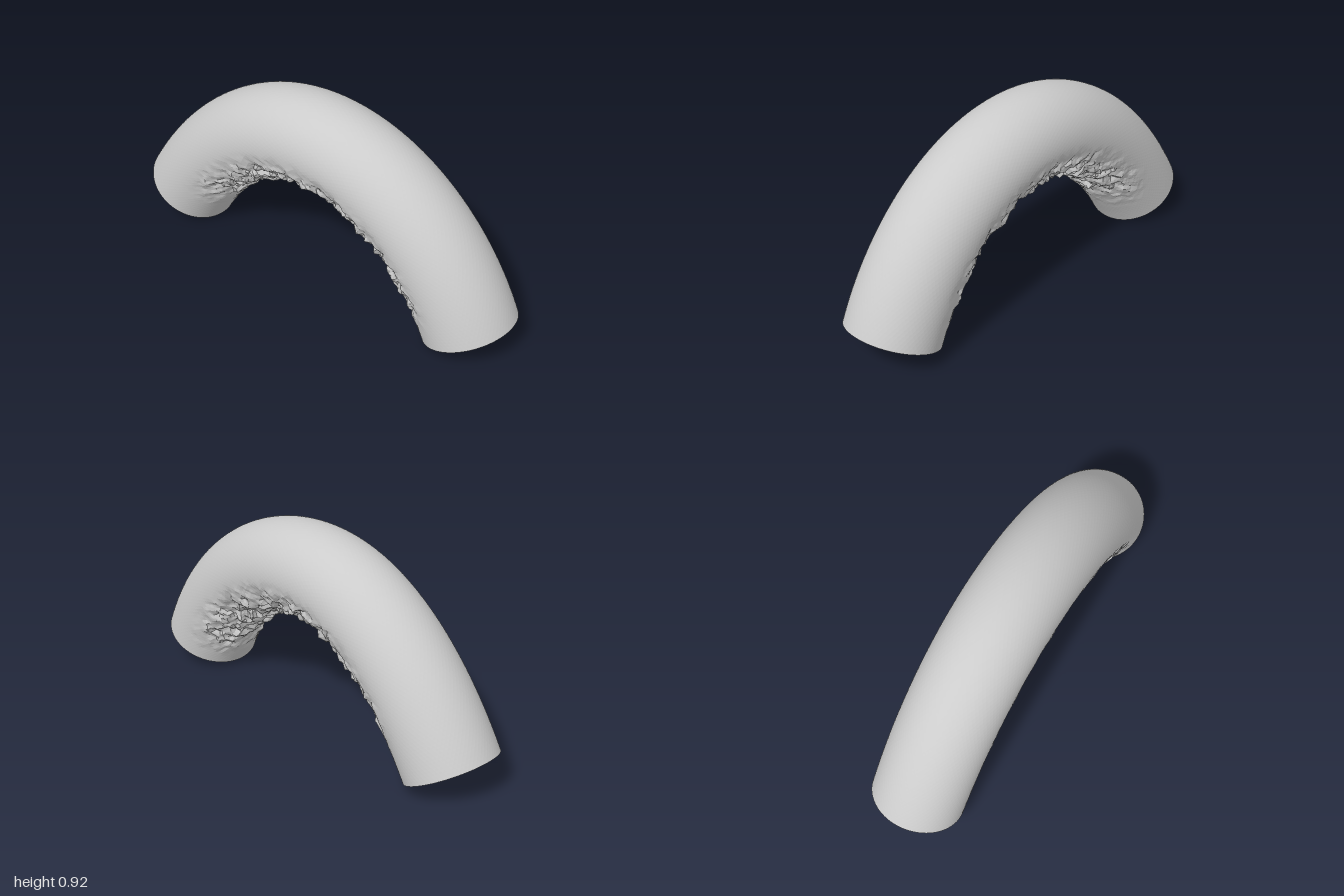
import * as THREE from 'three';

const RADIUS = 0.214, ALONG = 150, AROUND = 72;

// Repeatable value noise: a hash per lattice point, smoothly blended
function hash(i, j) {
  const s = Math.sin(i * 127.1 + j * 311.7) * 43758.5453;
  return (s - Math.floor(s)) * 2 - 1;
}
function noise(x, y) {
  const i = Math.floor(x), j = Math.floor(y);
  const f = THREE.MathUtils.smoothstep(x - i, 0, 1), g = THREE.MathUtils.smoothstep(y - j, 0, 1);
  const lerp = THREE.MathUtils.lerp;
  return lerp(lerp(hash(i, j), hash(i + 1, j), f), lerp(hash(i, j + 1), hash(i + 1, j + 1), f), g);
}

// Centre line: two arcs that meet level at the crown and straighten towards the ends
function centreLine() {
  const v = (x, y) => new THREE.Vector3(x, y, 0);
  const path = new THREE.CurvePath();
  path.add(new THREE.CubicBezierCurve3(v(-0.815, 0.112), v(-0.621, 0.439), v(-0.34, 0.705), v(0, 0.705)));
  path.add(new THREE.CubicBezierCurve3(v(0, 0.705), v(0.36, 0.705), v(0.655, 0.435), v(0.797, 0.105)));
  return path;
}

// Radial offset of the skin: crumpled on the inside of the bend, smooth elsewhere
function wrinkle(u, theta) {
  const ss = THREE.MathUtils.smoothstep;
  const inside = ss(-Math.cos(theta), 0.0, 0.8);
  const ends = ss(u, 0.05, 0.24) * (1 - ss(u, 0.86, 0.98));
  const around = theta * 5;
  const fold = noise(u * 62 + 1.2 * noise(u * 20, around), around) + 0.5 * noise(u * 75 + 40, theta * 11);
  return inside * ends * (0.021 * fold - 0.008);
}

function bentTubeGeometry() {
  const path = centreLine(), positions = [], indices = [];
  for (let i = 0; i <= ALONG; i++) {
    const u = i / ALONG;
    const c = path.getPointAt(u), t = path.getTangentAt(u);
    for (let j = 0; j < AROUND; j++) {
      // every second ring is turned half a step for even triangles
      const theta = ((j + (i % 2) * 0.5) / AROUND) * Math.PI * 2;
      const r = RADIUS + wrinkle(u, theta);
      const n = r * Math.cos(theta);
      positions.push(c.x - t.y * n, c.y + t.x * n, r * Math.sin(theta));
    }
  }
  for (let i = 0; i < ALONG; i++) {
    for (let j = 0; j < AROUND; j++) {
      const k = (j + 1) % AROUND;
      const a = i * AROUND + j, b = i * AROUND + k;
      const c = a + AROUND, d = b + AROUND;
      if (i % 2) indices.push(a, b, d, a, d, c);
      else indices.push(a, b, c, b, d, c);
    }
  }
  const geometry = new THREE.BufferGeometry();
  geometry.setAttribute('position', new THREE.Float32BufferAttribute(positions, 3));
  geometry.setIndex(indices);
  geometry.computeVertexNormals();
  return geometry;
}

export function createModel() {
  const group = new THREE.Group();
  group.name = 'bentTube';
  // Thin open skin, seen from inside and outside
  const material = new THREE.MeshStandardMaterial({
    color: 0xcccccc, flatShading: true, side: THREE.DoubleSide,
  });
  const tube = new THREE.Mesh(bentTubeGeometry(), material);
  tube.name = 'wrinkledTube';
  group.add(tube);
  return group;
}
